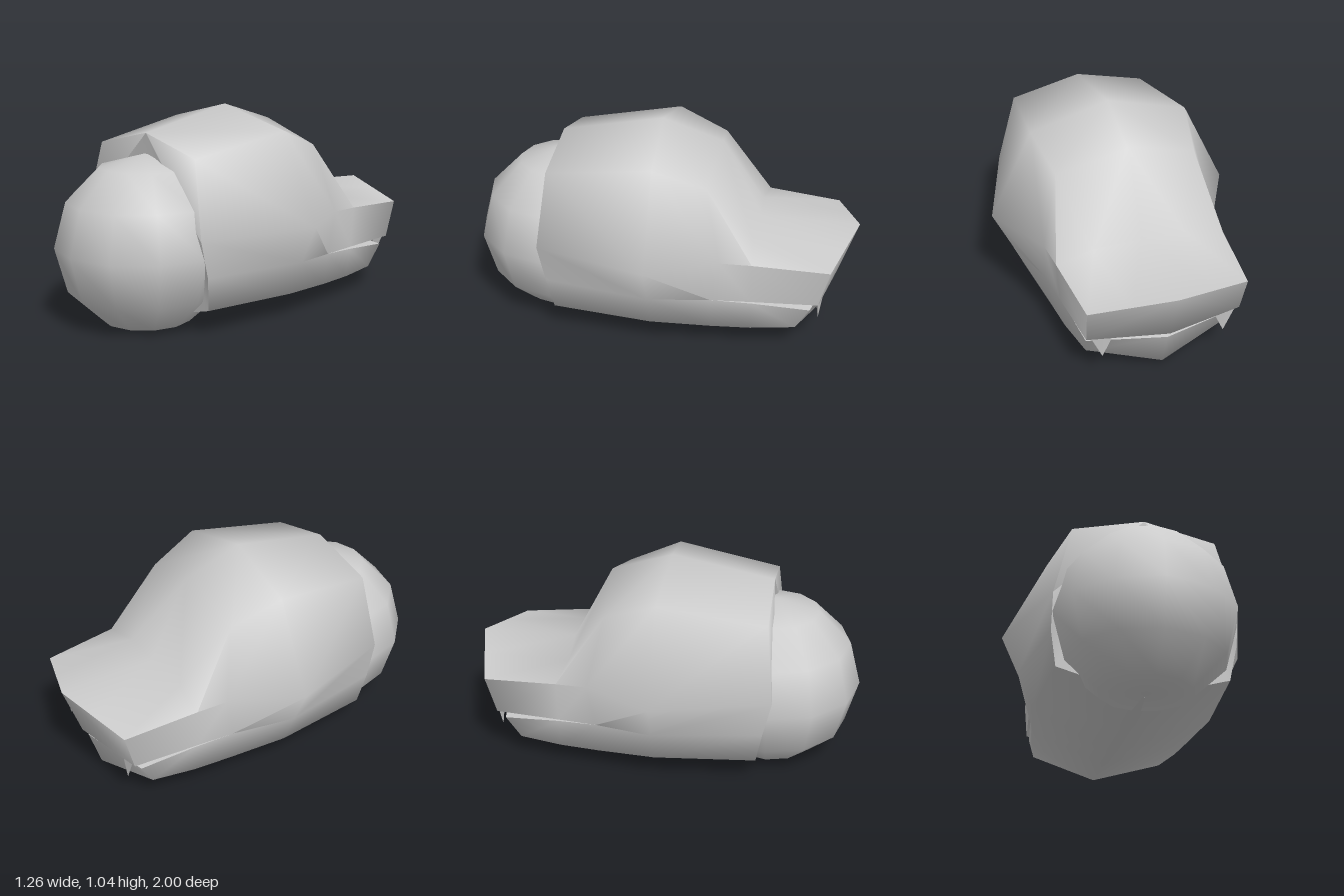
import * as THREE from 'three';
import { toCreasedNormals } from 'three/addons/utils/BufferGeometryUtils.js';

export function createModel() {
  const model = new THREE.Group();
  const material = new THREE.MeshStandardMaterial({ color: 0xcccccc });
  const add = (name, geometry) => {
    const mesh = new THREE.Mesh(geometry, material);
    mesh.name = name;
    model.add(mesh);
    return mesh;
  };

  // Half cross-sections, neck to snout: crown, shoulder, cheek, mouth edge
  const upper = [
    [[0, 0.94, 0.54], [0.36, 0.855, 0.54], [0.45, 0.48, 0.58], [0.45, 0.3, 0.54]],
    [[0, 1.04, 0.02], [0.41, 0.94, 0], [0.63, 0.49, 0], [0.54, 0.3, 0]],
    [[0, 0.94, -0.29], [0.36, 0.84, -0.26], [0.45, 0.49, -0.34], [0.44, 0.27, -0.3]],
    [[0, 0.54, -0.5], [0.24, 0.52, -0.48], [0.435, 0.485, -0.5], [0.42, 0.27, -0.5]],
    [[0, 0.535, -1], [0.2, 0.4975, -0.94], [0.4, 0.46, -0.88], [0.39, 0.27, -0.83]],
  ];
  // Mouth edge, jaw corner, underside
  const lower = [
    [upper[0][3], [0.42, 0.13, 0.51], [0, 0.01, 0.51]],
    [upper[1][3], [0.46, 0.12, 0], [0, 0, 0.1]],
    [upper[2][3], [0.42, 0.105, -0.3], [0, 0.01, -0.3]],
    [[0.41, 0.255, -0.5], [0.4, 0.105, -0.5], [0, 0.018, -0.5]],
    [[0.38, 0.23, -0.79], [0.36, 0.11, -0.72], [0, 0.03, -0.82]],
  ];
  // Centre lines of the palate and the mouth floor, from the mouth corner on
  const palate = [[0, 0.27, -0.3], [0, 0.27, -0.5], [0, 0.27, -0.91]];
  const floor = [[0, 0.27, -0.3], [0, 0.255, -0.5], [0, 0.225, -0.88]];

  const positions = [];
  const flip = ([x, y, z]) => [-x, y, z];
  const tri = (a, b, c) => positions.push(...a, ...b, ...c, ...flip(a), ...flip(c), ...flip(b));
  const quad = (a, b, c, d) => { tri(a, b, c); tri(a, c, d); };
  const loft = (rows) => {
    for (let i = 0; i < rows.length - 1; i++)
      for (let j = 0; j < rows[i].length - 1; j++)
        quad(rows[i][j], rows[i][j + 1], rows[i + 1][j + 1], rows[i + 1][j]);
  };
  loft(upper);
  loft(lower);
  loft(palate.map((c, i) => [upper[i + 2][3], c]));
  loft(floor.map((c, i) => [c, lower[i + 2][0]]));

  // Snout, chin and neck ends
  const [crown, shoulder, cheek, lip] = upper[4];
  tri(crown, shoulder, cheek);
  quad(crown, cheek, lip, palate[2]);
  quad(floor[2], ...lower[4]);
  const rim = [lower[0][2], lower[0][1], upper[0][3], upper[0][2], upper[0][1]];
  for (let i = 0; i < rim.length - 1; i++) tri(upper[0][0], rim[i], rim[i + 1]);

  const head = new THREE.BufferGeometry();
  head.setAttribute('position', new THREE.Float32BufferAttribute(positions, 3));
  add('head', toCreasedNormals(head, 1.4));

  // Rounded neck, flattened where it meets the underside
  const neck = new THREE.SphereGeometry(0.45, 12, 6);
  neck.translate(0, 0.39, 0.55);
  const p = neck.attributes.position;
  for (let i = 0; i < p.count; i++) p.setY(i, Math.max(p.getY(i), 0.012));
  add('neck', neck);

  // Flat pointed fangs below the upper lip
  for (const side of [1, -1]) {
    const fang = new THREE.ConeGeometry(0.06, 0.13, 4).toNonIndexed();
    fang.computeVertexNormals();
    fang.rotateX(Math.PI);
    fang.scale(1, 1, 0.3);
    const mesh = add(side > 0 ? 'leftFang' : 'rightFang', fang);
    mesh.position.set(side * 0.31, 0.215, -0.83);
  }
  return model;
}
